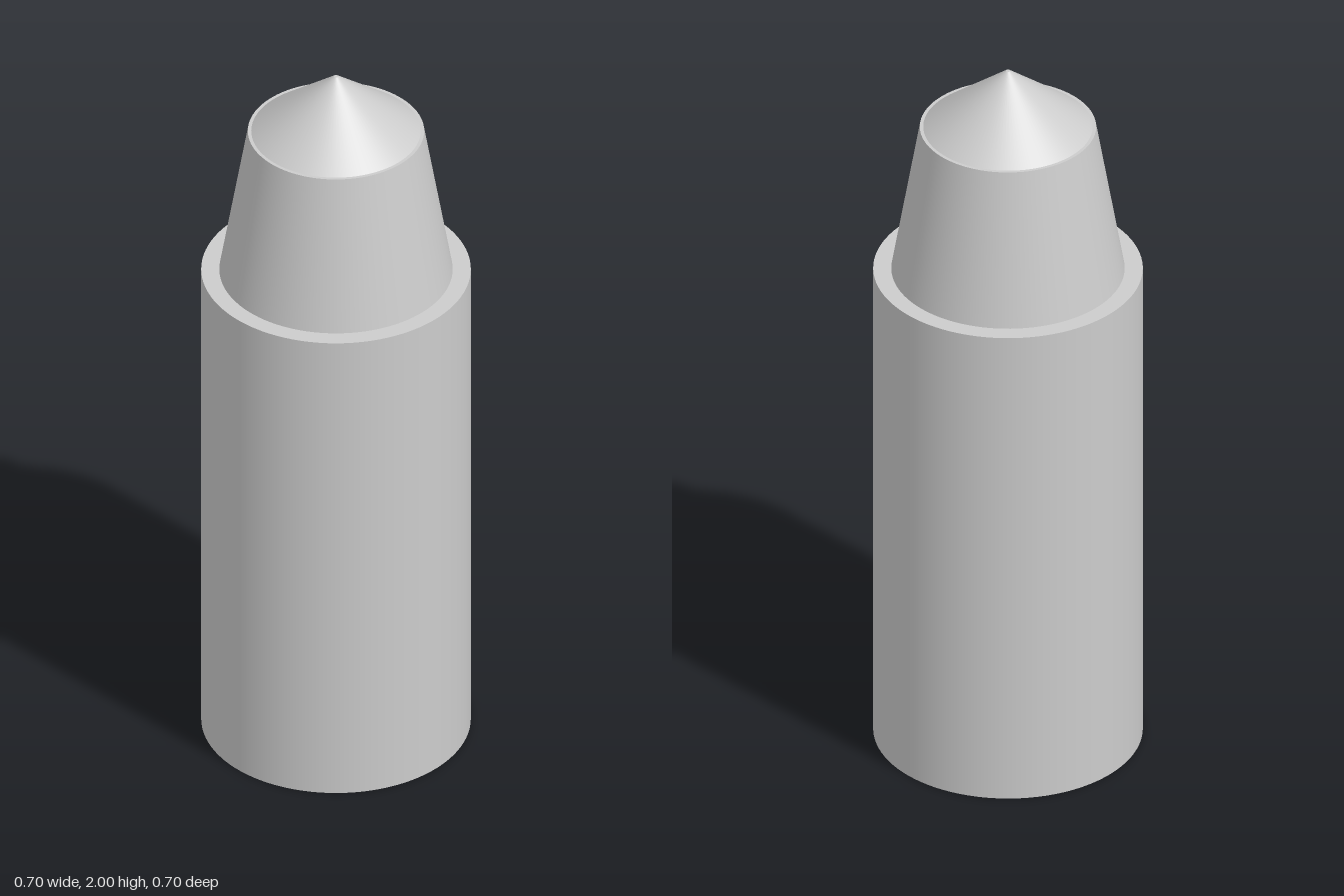
import * as THREE from 'three';

const SEGMENTS = 96;

export function createModel() {
  const group = new THREE.Group();
  const material = new THREE.MeshStandardMaterial({ color: 0xcccccc });

  // Adds a round section standing between two heights
  function addSection(name, topRadius, bottomRadius, y0, y1) {
    const geometry = new THREE.CylinderGeometry(topRadius, bottomRadius, y1 - y0, SEGMENTS);
    const mesh = new THREE.Mesh(geometry, material);
    mesh.name = name;
    mesh.position.y = (y0 + y1) / 2;
    group.add(mesh);
  }

  // Straight body, tapered collar with a narrow rim, and blunt-pointed tip
  addSection('body', 0.35, 0.35, 0, 1.4);
  addSection('taperedCollar', 0.229, 0.303, 1.4, 1.83);
  addSection('conicalTip', 0.006, 0.22, 1.83, 2);

  return group;
}
